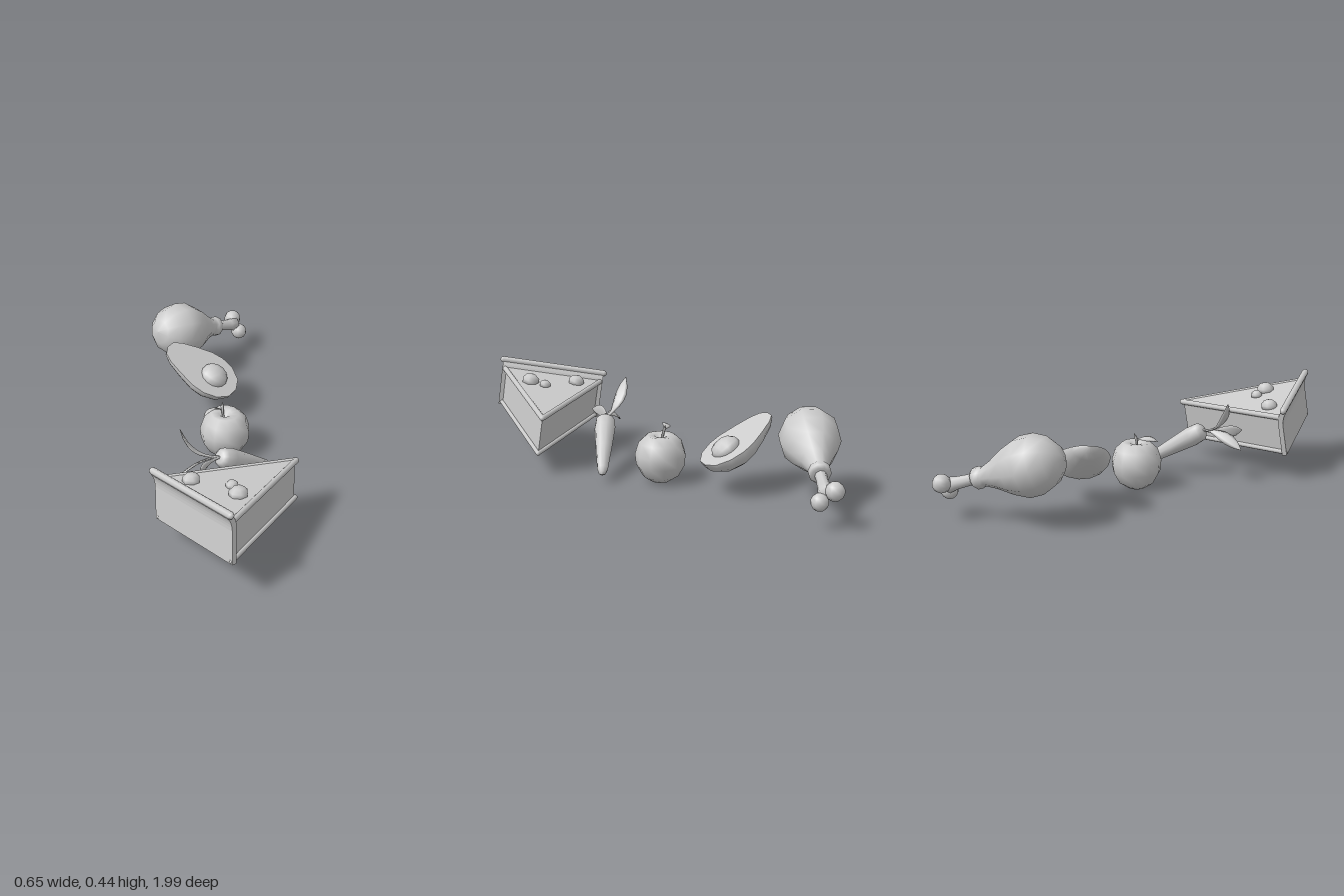
import * as THREE from 'three';

const mat = new THREE.MeshStandardMaterial({ color: 0xcccccc });
const V = (x, y, z) => new THREE.Vector3(x, y, z);
const UP = V(0, 1, 0);

function add(parent, name, geometry) {
  const mesh = new THREE.Mesh(geometry, mat);
  mesh.name = name;
  parent.add(mesh);
  return mesh;
}

function group(parent, name) {
  const g = new THREE.Group();
  g.name = name;
  parent.add(g);
  return g;
}

const lathe = (profile, sides, start = 0, sweep = Math.PI * 2) =>
  new THREE.LatheGeometry(profile.map(([r, y]) => new THREE.Vector2(r, y)), sides, start, sweep);

// Points an object's y axis from one point towards another
function aim(object, from, to) {
  object.position.copy(from);
  object.quaternion.setFromUnitVectors(UP, to.clone().sub(from).normalize());
}

// Sets an object's frame from its y and z axes
function frame(object, origin, y, z) {
  const yAxis = y.clone().normalize();
  const x = new THREE.Vector3().crossVectors(yAxis, z).normalize();
  const zAxis = new THREE.Vector3().crossVectors(x, yAxis);
  object.quaternion.setFromRotationMatrix(new THREE.Matrix4().makeBasis(x, yAxis, zAxis));
  object.position.copy(origin);
}

// Rounded bar between two points
function bar(parent, name, a, b, radius) {
  const length = a.distanceTo(b);
  const mesh = add(parent, name, new THREE.CapsuleGeometry(radius, length, 3, 8));
  aim(mesh, a, b);
  mesh.position.lerpVectors(a, b, 0.5);
}

function ball(parent, name, center, radius, w = 10, h = 7) {
  const mesh = add(parent, name, new THREE.SphereGeometry(radius, w, h));
  mesh.position.copy(center);
  return mesh;
}

// Thin leaf: lens-shaped cross-sections along a curve; widths are spread evenly from base to tip
function leaf(parent, name, points, widthDir, widths, thickness) {
  const curve = new THREE.QuadraticBezierCurve3(...points);
  const W = widthDir.clone().normalize(), n = widths.length - 1, sides = 6;
  const pos = [], index = [];
  for (let i = 0; i <= n; i++) {
    const p = curve.getPoint(i / n);
    const N = curve.getTangent(i / n).cross(W).normalize();
    const t = Math.min(thickness, widths[i]);
    for (let j = 0; j < sides; j++) {
      const a = (j / sides) * Math.PI * 2;
      const q = p.clone().addScaledVector(W, widths[i] * Math.cos(a)).addScaledVector(N, t * Math.sin(a));
      pos.push(q.x, q.y, q.z);
      if (i === n) continue;
      const k = i * sides + j, m = i * sides + ((j + 1) % sides);
      index.push(k, m, k + sides, m, m + sides, k + sides);
    }
  }
  const g = new THREE.BufferGeometry();
  g.setAttribute('position', new THREE.Float32BufferAttribute(pos, 3));
  g.setIndex(index);
  g.computeVertexNormals();
  add(parent, name, g);
}

// Local frame: crust along x, y up, point of the slice towards -z
function buildPie(root) {
  const pie = group(root, 'pieSlice');
  frame(pie, V(-0.172, 0.163, 0.788), V(0.02, 0.982, -0.188), V(-0.85, 0.116, 0.516));

  const wedge = new THREE.Shape([[-0.237, 0.005], [0.237, 0.005], [0, 0.56]].map((p) => new THREE.Vector2(...p)));
  const filling = new THREE.ExtrudeGeometry(wedge, { depth: 0.194, bevelEnabled: false });
  add(pie, 'filling', filling.rotateX(-Math.PI / 2).translate(0, 0.002, 0));

  // Rolled edges along both cut sides
  for (const s of [-1, 1]) {
    for (const [name, y, r] of [['bottomRim', 0.011, 0.011], ['topRim', 0.188, 0.013]]) {
      bar(pie, name, V(s * 0.238, y, -0.008), V(0, y, -0.567), r);
    }
  }

  // Back crust flares out to a rolled lip
  const wall = new THREE.Shape();
  wall.moveTo(-0.022, 0);
  wall.lineTo(0, 0);
  wall.lineTo(0, 0.15);
  wall.quadraticCurveTo(0.002, 0.19, 0.02, 0.212);
  wall.lineTo(0.004, 0.23);
  wall.quadraticCurveTo(-0.02, 0.2, -0.022, 0.17);
  const crust = new THREE.ExtrudeGeometry(wall, { depth: 0.5, bevelEnabled: false, curveSegments: 5 });
  add(pie, 'crustWall', crust.rotateY(-Math.PI / 2).translate(0.25, 0, 0));
  bar(pie, 'crustLip', V(-0.25, 0.226, 0.01), V(0.25, 0.226, 0.01), 0.016);

  // Berries on top
  pie.updateMatrixWorld(true);
  for (const [x, y, z, r] of [[-0.155, 0.34, 0.6, 0.04], [0.005, 0.355, 0.67, 0.028], [0.02, 0.368, 0.745, 0.043]]) {
    const berry = ball(pie, 'berry', pie.worldToLocal(V(x, y, z)), r, 7, 5);
    berry.scale.y = 0.75;
    berry.position.y = 0.204;
  }
}

function buildCarrot(root) {
  const carrot = group(root, 'carrot');
  const root3 = add(carrot, 'carrotRoot', lathe([
    [0, 0], [0.028, 0.002], [0.045, 0.02], [0.049, 0.07], [0.038, 0.19], [0.025, 0.315], [0.017, 0.34], [0, 0.35],
  ], 10));
  aim(root3, V(0, 0.23, 0.325), V(0.255, 0.045, 0.175));
  const base = V(0.008, 0.228, 0.322);
  const w = [0.006, 0.007, 0.011, 0.02, 0.028, 0.03, 0.022, 0.002];
  leaf(carrot, 'upperLeaf', [base, V(-0.13, 0.24, 0.335), V(-0.17, 0.39, 0.32)], V(0, 0.1, 1), w, 0.005);
  leaf(carrot, 'frontLeaf', [base, V(-0.095, 0.225, 0.36), V(-0.105, 0.225, 0.475)], V(0, 1, 0), w, 0.005);
  leaf(carrot, 'lowerLeaf', [base, V(-0.09, 0.25, 0.34), V(-0.2, 0.165, 0.38)], V(0, 0.55, 0.83), w, 0.005);
}

function buildApple(root) {
  const apple = group(root, 'apple');
  const flesh = add(apple, 'appleBody', lathe([
    [0, 0.02], [0.04, 0], [0.083, 0.028], [0.112, 0.08], [0.117, 0.13], [0.1, 0.185], [0.065, 0.218], [0.03, 0.215], [0, 0.185],
  ], 11));
  flesh.position.set(0.075, 0, -0.025);
  leaf(apple, 'appleStem', [V(0.07, 0.185, -0.027), V(0.06, 0.23, -0.03), V(0.065, 0.265, -0.045)],
    V(1, 0, 0), [0.005, 0.005, 0.006, 0.008, 0.001], 0.006);
  leaf(apple, 'appleLeaf', [V(0.064, 0.23, -0.033), V(0.01, 0.265, -0.03), V(-0.03, 0.235, 0.018)],
    V(0.45, 0.35, 0.8), [0.003, 0.006, 0.017, 0.021, 0.014, 0.001], 0.004);
}

// Local frame: long axis y from narrow to wide end, cut face towards +z
function buildAvocado(root) {
  const avocado = group(root, 'avocadoHalf');
  frame(avocado, V(-0.145, 0.333, -0.452), V(0.807, -0.47, 0.357), V(0.45, 0.82, 0.35));
  const profile = [
    [0, 0], [0.045, 0.012], [0.075, 0.05], [0.105, 0.12], [0.132, 0.2], [0.136, 0.26], [0.115, 0.325], [0.065, 0.375], [0, 0.39],
  ];
  add(avocado, 'avocadoSkin', lathe(profile, 8, Math.PI / 2, Math.PI).scale(1, 1, 0.72));
  const outline = [...profile, ...profile.slice(1, -1).reverse().map(([x, y]) => [-x, y])];
  add(avocado, 'avocadoFlesh', new THREE.ShapeGeometry(new THREE.Shape(outline.map((p) => new THREE.Vector2(...p)))));
  ball(avocado, 'avocadoPit', V(0, 0.265, 0), 0.067).scale.z = 0.7;
}

function buildDrumstick(root) {
  const drumstick = group(root, 'drumstick');
  const center = V(-0.06, 0.275, -0.7), end = V(0.25, 0.155, -0.92);
  const meat = add(drumstick, 'meat', lathe([
    [0, -0.15], [0.06, -0.138], [0.106, -0.095], [0.133, -0.035], [0.134, 0.03], [0.106, 0.1], [0.066, 0.17],
    [0.042, 0.225], [0.049, 0.238], [0.049, 0.262], [0.038, 0.275], [0, 0.272],
  ], 10));
  aim(meat, center, end);
  const bone = add(drumstick, 'bone', lathe([[0.027, 0.25], [0.025, 0.3], [0.028, 0.36], [0.036, 0.4], [0, 0.415]], 8));
  aim(bone, center, end);
  ball(drumstick, 'boneKnuckle', V(0.245, 0.17, -0.957), 0.042);
  ball(drumstick, 'boneKnuckle', V(0.272, 0.122, -0.903), 0.039);
}

export function createModel() {
  const root = new THREE.Group();
  root.name = 'foodSet';
  for (const build of [buildPie, buildCarrot, buildApple, buildAvocado, buildDrumstick]) build(root);
  return root;
}
